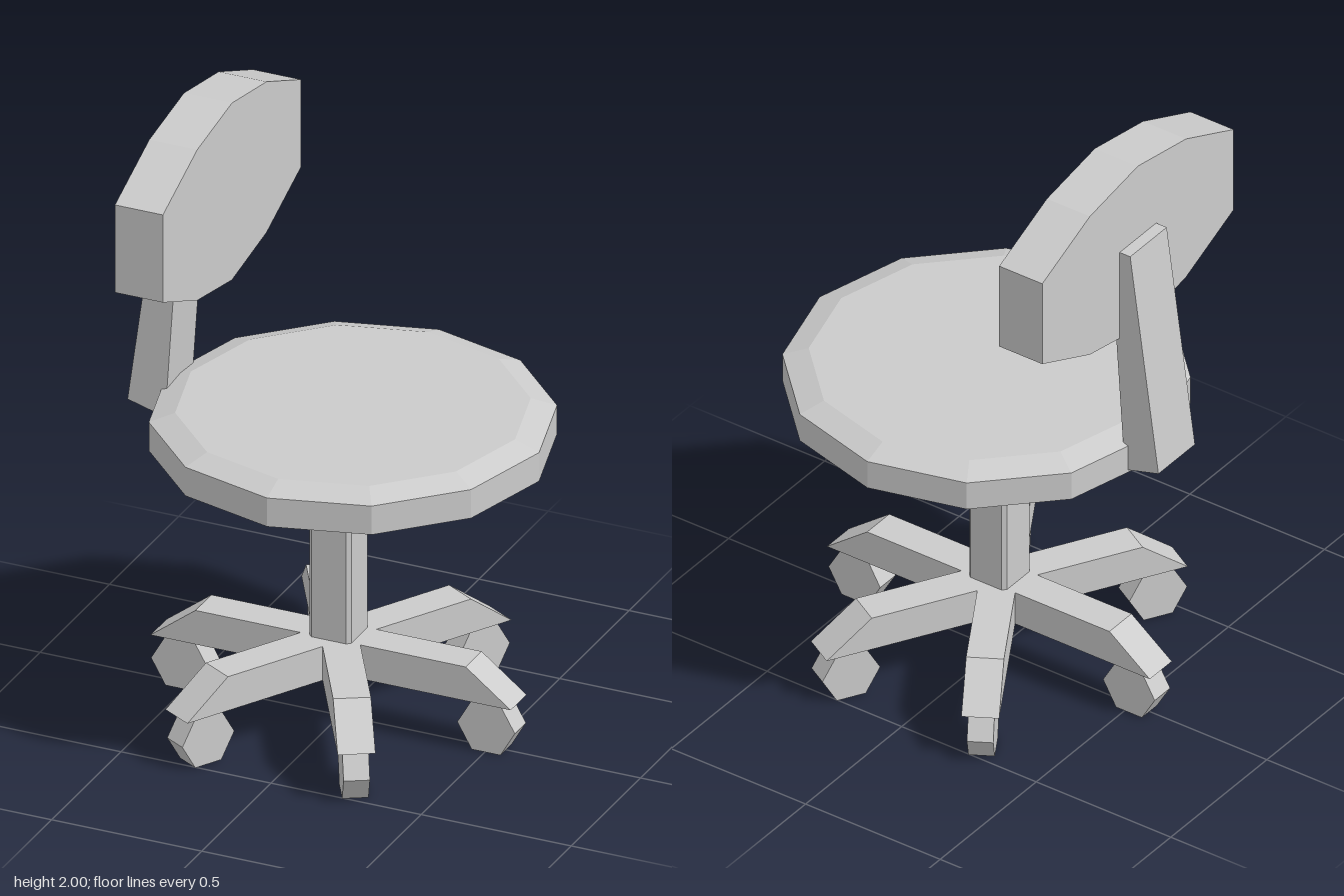
import * as THREE from 'three';

const material = new THREE.MeshStandardMaterial({ color: 0xcccccc, flatShading: true });

function part(name, geometry) {
  const mesh = new THREE.Mesh(geometry, material);
  mesh.name = name;
  return mesh;
}

// Outline in x/y, extruded along z and centred on z = 0
function slab(points, depth) {
  const shape = new THREE.Shape(points.map(([x, y]) => new THREE.Vector2(x, y)));
  return new THREE.ExtrudeGeometry(shape, { depth, bevelEnabled: false }).translate(0, 0, -depth / 2);
}

export function createModel() {
  const chair = new THREE.Group();
  chair.name = 'swivelChair';
  const baseX = -0.006;

  // Twelve-sided seat with chamfered rims
  const seatProfile = [[0, 0.91], [0.54, 0.91], [0.62, 0.935], [0.62, 1.032], [0.54, 1.06], [0, 1.06]];
  const seat = part('seat', new THREE.LatheGeometry(seatProfile.map(([r, y]) => new THREE.Vector2(r, y)), 12));
  seat.position.x = 0.042;
  chair.add(seat);

  // Square column with narrow chamfers
  const a = 0.07, b = 0.058;
  const columnOutline = [[a, -b], [a, b], [b, a], [-b, a], [-a, b], [-a, -b], [-b, -a], [b, -a]];
  const column = part('column', slab(columnOutline, 0.74).rotateX(Math.PI / 2));
  column.position.set(baseX, 0.55, 0);
  chair.add(column);

  // Backrest: ten-sided pad facing +x
  const padOutline = [[0, 1.4], [0.25, 1.446], [0.498, 1.553], [0.498, 1.85], [0.25, 1.957],
    [0, 2], [-0.25, 1.957], [-0.498, 1.85], [-0.498, 1.553], [-0.25, 1.446]];
  const backrest = part('backrest', slab(padOutline, 0.16).rotateY(Math.PI / 2));
  backrest.position.x = -0.441;
  chair.add(backrest);

  // Tapered bar joining the seat to the backrest
  const barOutline = [[-0.665, 0.975], [-0.54, 0.94], [-0.487, 1.735], [-0.56, 1.735]];
  chair.add(part('backSupport', slab(barOutline, 0.19)));

  // Six-spoke base, each leg carrying a hexagonal wheel
  const base = new THREE.Group();
  base.name = 'base';
  base.position.x = baseX;
  const legGeometry = slab([[0, 0.17], [0.6, 0.17], [0.45, 0.285], [0, 0.285]], 0.115);
  const wheelGeometry = new THREE.CylinderGeometry(0.096, 0.096, 0.08, 6)
    .rotateY(Math.PI / 6).rotateX(Math.PI / 2).translate(0.51, 0.0835, 0);
  for (let i = 0; i < 6; i++) {
    const spoke = new THREE.Group();
    spoke.name = 'spoke';
    spoke.rotation.y = i * Math.PI / 3;
    spoke.add(part('leg', legGeometry), part('wheel', wheelGeometry));
    base.add(spoke);
  }
  chair.add(base);

  return chair;
}
